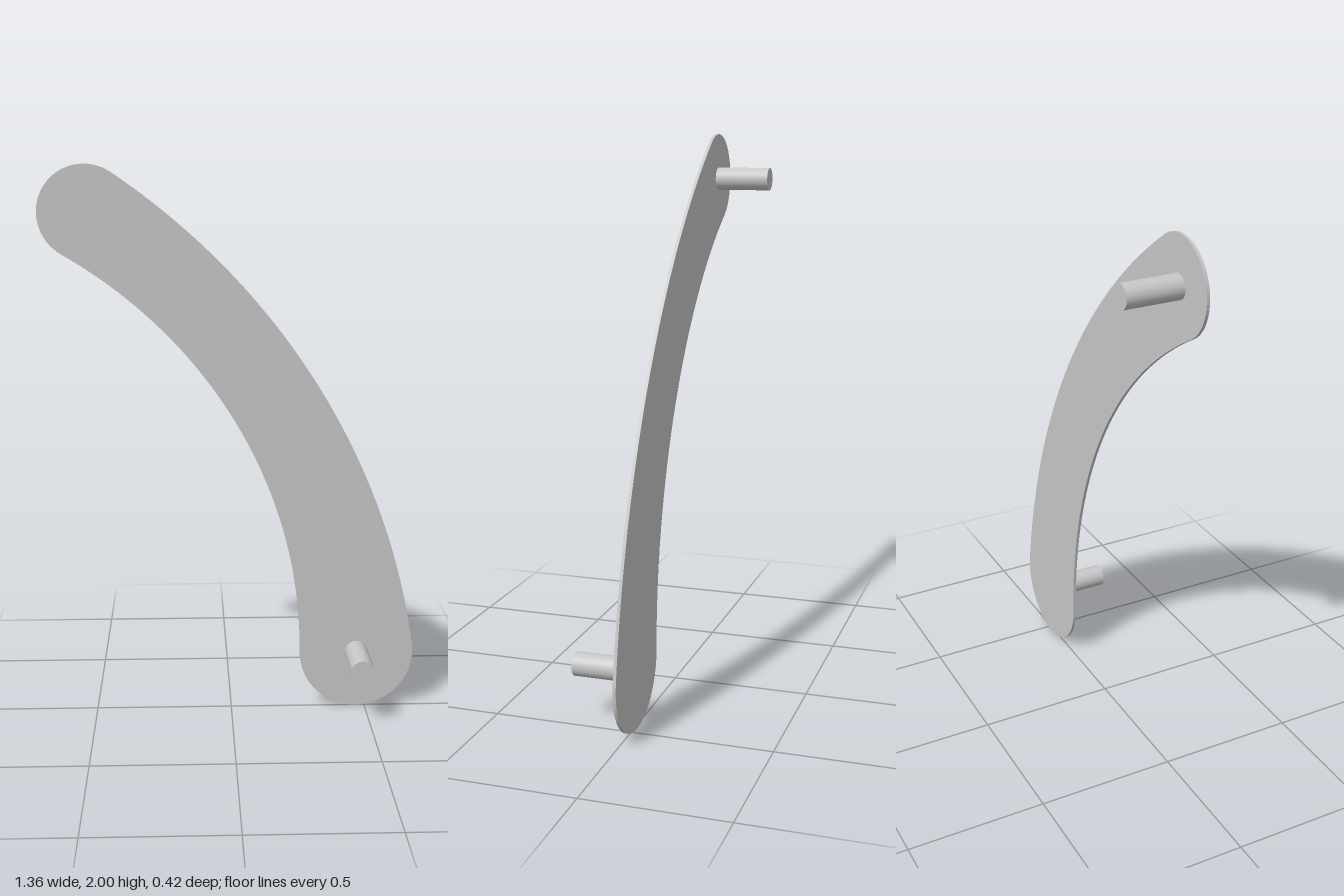
import * as THREE from 'three';

export function createModel() {
  const model = new THREE.Group();
  model.name = 'curvedLink';
  const grey = new THREE.MeshStandardMaterial({ color: 0xc7c7c7 });
  grey.name = 'lightGrey';

  // Pin centres with the rounded end radii, and centres of the two long arcs
  const low = { x: 0.467, y: 0.211, r: 0.211 };
  const high = { x: -0.511, y: 1.833, r: 0.167 };
  const outer = { x: -1.839, y: -0.129 };
  const inner = { x: -1.443, y: 0.215 };
  const angle = (c, p) => Math.atan2(p.y - c.y, p.x - c.x);
  const reach = (c, p) => Math.hypot(p.y - c.y, p.x - c.x);

  // Points along an arc whose radius blends slightly from r0 to r1
  const arc = (c, r0, r1, a0, a1, n) => Array.from({ length: n + 1 }, (_, i) => {
    const t = i / n, a = a0 + (a1 - a0) * t, r = r0 + (r1 - r0) * t;
    return new THREE.Vector2(c.x + r * Math.cos(a), c.y + r * Math.sin(a));
  });
  const oLow = angle(outer, low), oHigh = angle(outer, high);
  const iLow = angle(inner, low), iHigh = angle(inner, high);
  const outline = [
    ...arc(outer, reach(outer, low) + low.r, reach(outer, high) + high.r, oLow, oHigh, 48),
    ...arc(high, high.r, high.r, oHigh, iHigh + Math.PI, 32).slice(1),
    ...arc(inner, reach(inner, high) - high.r, reach(inner, low) - low.r, iHigh, iLow, 48).slice(1),
    ...arc(low, low.r, low.r, iLow + Math.PI, oLow + 2 * Math.PI, 32).slice(1, -1),
  ];

  // Thin curved plate
  const thickness = 0.011;
  const plateGeometry = new THREE.ExtrudeGeometry(new THREE.Shape(outline), {
    depth: thickness, bevelEnabled: false,
  });
  plateGeometry.translate(0, 0, -thickness);
  const plate = new THREE.Mesh(plateGeometry, grey);
  plate.name = 'plate';
  model.add(plate);

  // Round pins: one forward at the bottom, one backward at the top
  const addPin = (name, p, z0, z1) => {
    const pin = new THREE.Mesh(new THREE.CylinderGeometry(0.042, 0.042, z1 - z0, 40), grey);
    pin.rotation.x = Math.PI / 2;
    pin.position.set(p.x, p.y, (z0 + z1) / 2);
    pin.name = name;
    model.add(pin);
  };
  addPin('frontPin', low, -0.005, 0.212);
  addPin('backPin', high, -0.212, -0.005);

  return model;
}
